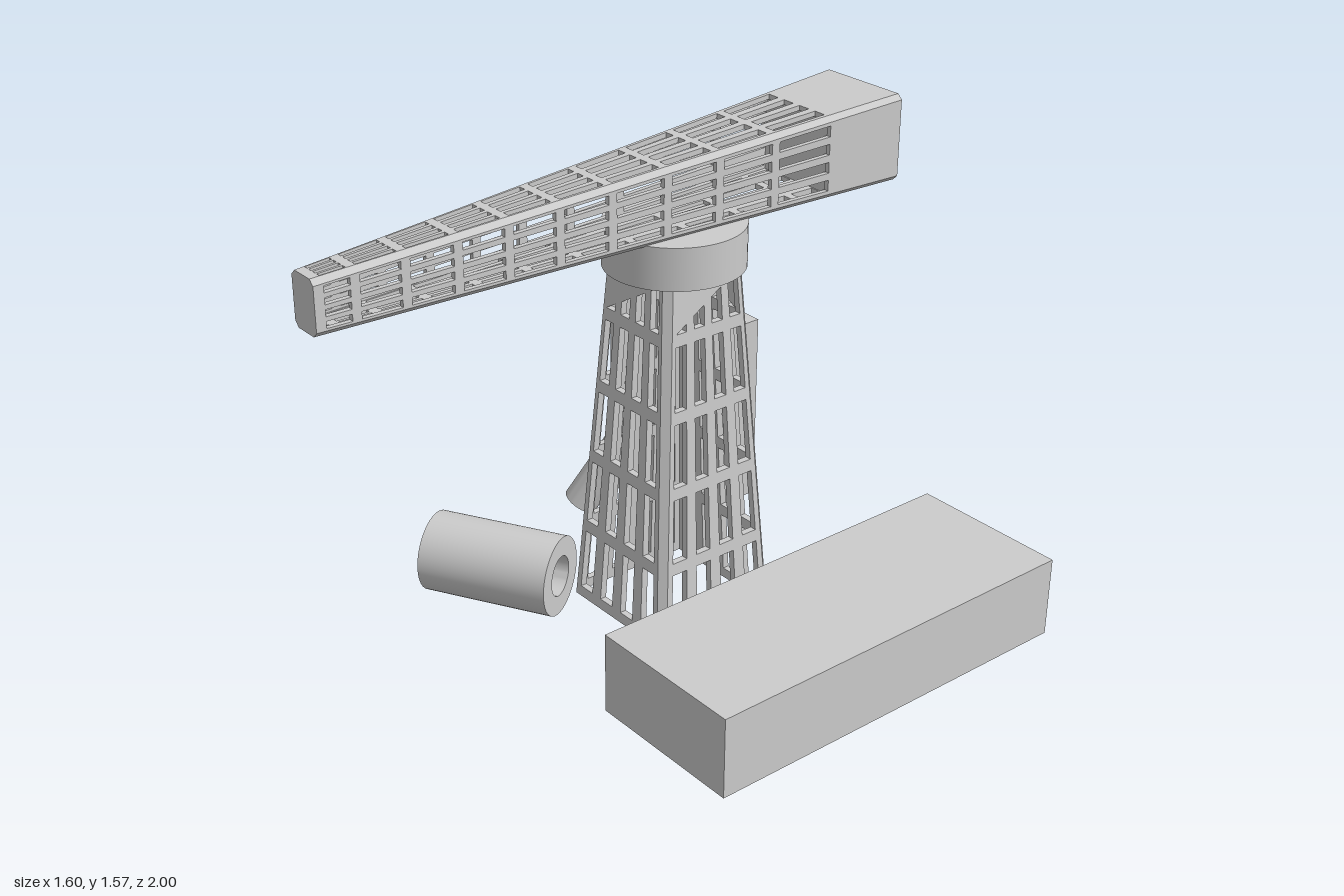
import * as THREE from 'three';
import { toCreasedNormals } from 'three/addons/utils/BufferGeometryUtils.js';
import { ConvexGeometry } from 'three/addons/geometries/ConvexGeometry.js';

const grey = new THREE.MeshStandardMaterial({ color: 0xcccccc });
const lerp = THREE.MathUtils.lerp;

function add(parent, name, geometry, x = 0, y = 0, z = 0) {
  const mesh = new THREE.Mesh(geometry, grey);
  mesh.name = name;
  mesh.position.set(x, y, z);
  parent.add(mesh);
  return mesh;
}

// Tapered rectangular truss along local z; v runs from 0 (start) to 1 (end).
// spec: z, w (half width), h (half height), cy (centre height) as [start, end]; t is wall thickness
function section(spec, v) {
  const at = (pair) => lerp(pair[0], pair[1], v);
  return { z: at(spec.z), w: at(spec.w), h: at(spec.h), cy: at(spec.cy) };
}

// One wall: a sheet with a grid of openings, wrapped onto side k of the truss
function panel(spec, k, rails, barV, columns, barU) {
  const shape = new THREE.Shape([[-1, 0], [1, 0], [1, 1], [-1, 1]].map((p) => new THREE.Vector2(...p)));
  const edge = barU * 0.5;
  const pitch = (2 - 2 * edge + barU) / columns;
  for (let i = 0; i < rails.length - 1; i++) {
    const v0 = rails[i] + barV / 2, v1 = rails[i + 1] - barV / 2;
    for (let c = 0; c < columns; c++) {
      const u0 = -1 + edge + c * pitch, u1 = u0 + pitch - barU;
      shape.holes.push(new THREE.Path([[u0, v0], [u0, v1], [u1, v1], [u1, v0]].map((p) => new THREE.Vector2(...p))));
    }
  }
  const geo = new THREE.ExtrudeGeometry(shape, { depth: 1, bevelEnabled: false });
  const pos = geo.attributes.position;
  const nx = [1, 0, -1, 0][k], ny = [0, 1, 0, -1][k];
  for (let i = 0; i < pos.count; i++) {
    const u = pos.getX(i), s = section(spec, pos.getY(i));
    const out = (k % 2 ? s.h : s.w) - spec.t * (1 - pos.getZ(i));
    const along = u * ((k % 2 ? s.w : s.h) - spec.t);
    pos.setXYZ(i, nx * out - ny * along, ny * out + nx * along + s.cy, s.z);
  }
  geo.computeVertexNormals();
  return geo;
}

// Chamfered corner post
function post(spec, sx, sy) {
  const points = [];
  for (const v of [0, 1]) {
    const s = section(spec, v), t = spec.t;
    for (const [a, b] of [[t, 0], [0, t], [t, t]]) {
      points.push(new THREE.Vector3(sx * (s.w - a), s.cy + sy * (s.h - b), s.z));
    }
  }
  return new ConvexGeometry(points);
}

// Solid chamfered block through rings of [v, inset]
function block(spec, rings) {
  const points = [];
  for (const [v, inset] of rings) {
    const s = section(spec, v), t = spec.t;
    for (const sx of [-1, 1]) for (const sy of [-1, 1]) for (const [a, b] of [[t, 0], [0, t]]) {
      points.push(new THREE.Vector3(sx * (s.w - a - inset), s.cy + sy * (s.h - b - inset), s.z));
    }
  }
  return new ConvexGeometry(points);
}

function truss(name, spec, railsBySide, barV, barU) {
  const group = new THREE.Group();
  group.name = name;
  railsBySide.forEach((rails, k) => add(group, name + 'LatticeWall', panel(spec, k, rails, barV, 4, barU)));
  for (const sx of [-1, 1]) for (const sy of [-1, 1]) add(group, name + 'CornerPost', post(spec, sx, sy));
  return group;
}

// Hollow pipe between two points
function pipe(parent, name, from, to, outer, inner) {
  const a = new THREE.Vector3(...from), b = new THREE.Vector3(...to);
  const h = a.distanceTo(b) / 2;
  const profile = [[inner, -h], [outer, -h], [outer, h], [inner, h], [inner, -h]].map((p) => new THREE.Vector2(...p));
  const mesh = add(parent, name, toCreasedNormals(new THREE.LatheGeometry(profile, 48), 0.6));
  mesh.position.copy(a).add(b).multiplyScalar(0.5);
  mesh.quaternion.setFromUnitVectors(new THREE.Vector3(0, 1, 0), b.sub(a).normalize());
}

export function createModel() {
  const model = new THREE.Group();
  model.name = 'towerCrane';
  const cx = -0.12, cz = -0.243;

  // Tower, built along z and stood upright
  const towerSpec = { z: [0, 1.17], w: [0.228, 0.15], h: [0.228, 0.15], cy: [0, 0], t: 0.022 };
  const towerRails = [0.015, 0.26, 0.51, 0.755, 1.0, 1.19].map((y) => y / 1.17);
  const tower = truss('tower', towerSpec, Array(4).fill(towerRails), 0.034, 0.21);
  tower.rotation.x = -Math.PI / 2;
  tower.position.set(cx, 0, cz);
  model.add(tower);

  // Slewing ring
  const ring = new THREE.CylinderGeometry(0.218, 0.218, 0.135, 64);
  add(model, 'slewingRing', ring, cx, 1.2325, cz);

  // Jib: tapers from the rear counterweight to the tip; underside rails sit halfway between the others
  const jibSpec = { z: [-0.995, 1], w: [0.168, 0.054], h: [0.138, 0.082], cy: [1.433, 1.378], t: 0.016 };
  const toV = (z) => (z + 0.995) / 1.995;
  const stations = [-0.73, -0.51, -0.305, -0.12, 0.07, 0.245, 0.41, 0.57, 0.73, 0.88, 0.985];
  const between = stations.slice(1).map((z, i) => (z + stations[i]) / 2);
  const rails = stations.map(toV);
  const lowerRails = [-0.73, ...between, 0.985].map(toV);
  const jib = truss('jib', jibSpec, [rails, rails, rails, lowerRails], 0.014, 0.2);
  jib.position.x = cx;
  add(jib, 'counterweight', block(jibSpec, [[-0.002, 0.014], [0.006, 0], [toV(-0.72), 0]]));
  add(jib, 'jibTip', block(jibSpec, [[0.985, 0], [1, 0]]));
  model.add(jib);

  // Ground blocks
  add(model, 'longBlock', new THREE.BoxGeometry(0.53, 0.265, 1.325), 0.53, 0.1475, -0.3375);
  add(model, 'tallBlock', new THREE.BoxGeometry(0.355, 0.665, 0.355), -0.6225, 0.3475, -0.7075);

  // Loose pipes
  pipe(model, 'largePipe', [-0.625, 0.147, 0.322], [-0.245, 0.147, 0.107], 0.13, 0.066);
  pipe(model, 'smallPipe', [-0.715, 0.055, -0.33], [-0.594, 0.358, -0.475], 0.06, 0.042);
  return model;
}
